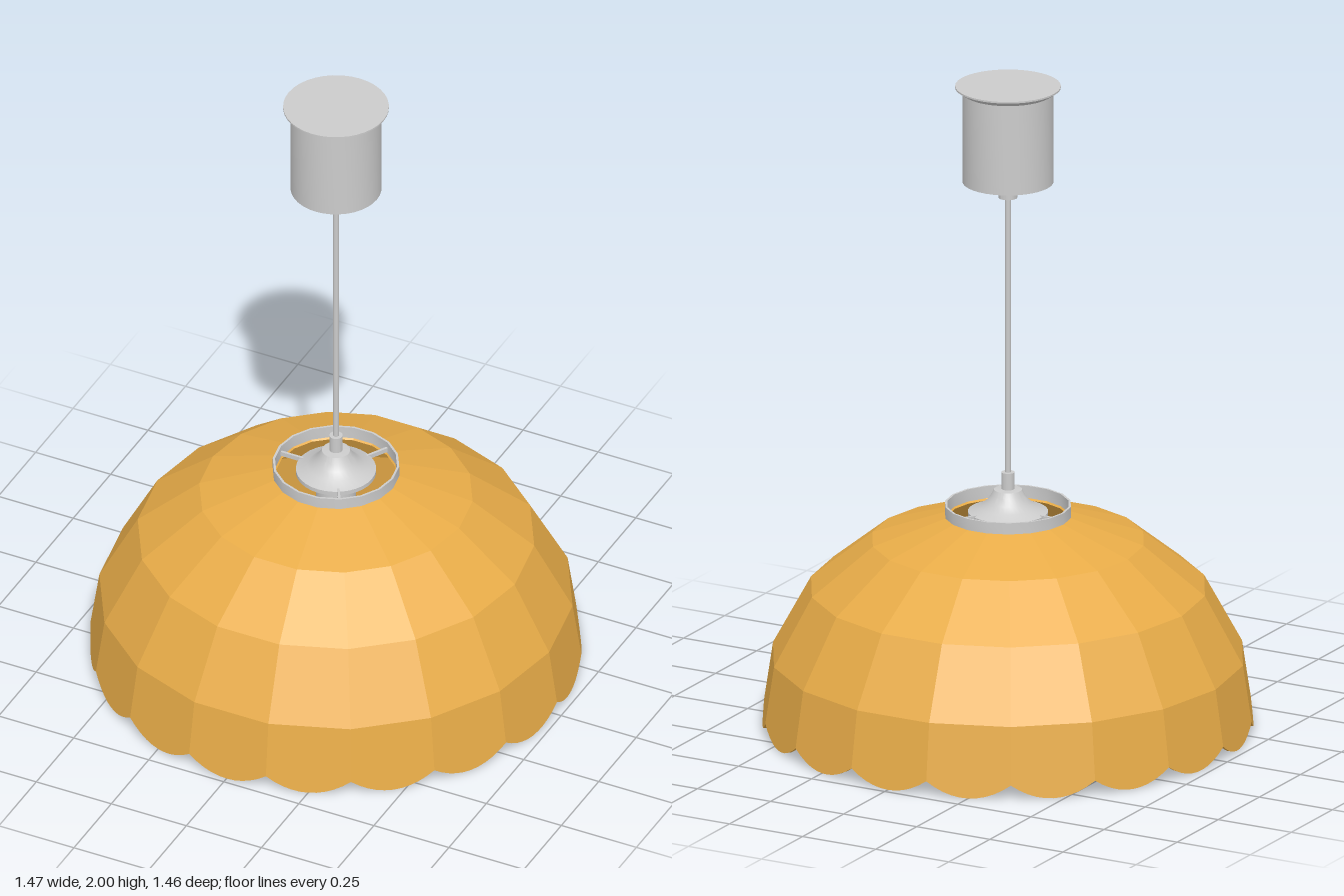
import * as THREE from 'three';
import { toCreasedNormals } from 'three/addons/utils/BufferGeometryUtils.js';

const SIDES = 18;
const grey = new THREE.MeshStandardMaterial({ color: 0xcccccc });
const amber = new THREE.MeshStandardMaterial({ color: 0xe8ac48, flatShading: true });
const glow = new THREE.MeshStandardMaterial({ color: 0xf0ec90 });

function add(parent, name, geometry, material) {
  const mesh = new THREE.Mesh(geometry, material);
  mesh.name = name;
  parent.add(mesh);
  return mesh;
}

// Turned part from [radius, y] points running bottom to top
function turned(points, segments = 32, start = 0) {
  const profile = points.map(([r, y]) => new THREE.Vector2(r, y));
  return toCreasedNormals(new THREE.LatheGeometry(profile, segments, start), 0.35);
}

// Faceted double-walled dome with one scallop under every panel
function shadeGeometry() {
  const steps = 10;
  const wall = 0.01;
  const rows = [[0.71, 0.22], [0.595, 0.432], [0.41, 0.58], [0.19, 0.655]];

  // Closed cross-section at panel position t: up the outside, down the inside
  const section = (t) => {
    const y = 0.045 * (2 * t - 1) ** 2;
    const r = 0.71 + (0.22 - y) * 0.15;
    const outer = [[r, y], ...rows];
    const inner = outer.map(([a, b], i) => [a - wall, i ? b - wall * i * 0.22 : b]).reverse();
    return [...outer, ...inner, outer[0]];
  };

  const positions = [];
  const point = (side, t, [r, y]) => {
    const a = (side * 2 * Math.PI) / SIDES;
    const b = ((side + 1) * 2 * Math.PI) / SIDES;
    return [
      r * THREE.MathUtils.lerp(Math.cos(a), Math.cos(b), t), y,
      r * THREE.MathUtils.lerp(Math.sin(a), Math.sin(b), t),
    ];
  };
  for (let side = 0; side < SIDES; side++) {
    for (let j = 0; j < steps; j++) {
      const t0 = j / steps, t1 = (j + 1) / steps;
      const s0 = section(t0), s1 = section(t1);
      for (let i = 0; i < s0.length - 1; i++) {
        const p = point(side, t0, s0[i]), q = point(side, t0, s0[i + 1]);
        const u = point(side, t1, s1[i]), v = point(side, t1, s1[i + 1]);
        positions.push(...p, ...q, ...u, ...q, ...v, ...u);
      }
    }
  }
  const geometry = new THREE.BufferGeometry();
  geometry.setAttribute('position', new THREE.Float32BufferAttribute(positions, 3));
  geometry.computeVertexNormals();
  return geometry;
}

export function createModel() {
  const model = new THREE.Group();
  model.name = 'pendantLamp';

  add(model, 'shade', shadeGeometry(), amber);

  // Open collar ring on top of the shade
  add(model, 'collarRing', turned([
    [0.19, 0.652], [0.19, 0.69], [0.183, 0.69], [0.183, 0.652], [0.19, 0.652],
  ], SIDES, Math.PI / 2), grey);

  // Three spokes hold the collar to the lamp holder
  const spokes = new THREE.Group();
  spokes.name = 'spokes';
  for (let i = 0; i < 3; i++) {
    const angle = Math.PI / 3 + (i * 2 * Math.PI) / 3;
    const geometry = new THREE.BoxGeometry(0.11, 0.014, 0.008);
    geometry.translate(0.132, 0.665, 0);
    add(spokes, 'spoke', geometry, grey).rotation.y = angle;
  }
  model.add(spokes);

  // Flared cap with the cord grip above it
  add(model, 'holderCap', turned([
    [0, 0.655], [0.12, 0.655], [0.12, 0.668], [0.085, 0.682], [0.064, 0.7],
    [0.05, 0.72], [0.042, 0.736], [0.02, 0.738], [0.02, 0.79], [0, 0.79],
  ]), grey);

  // Socket and round bulb inside the shade
  add(model, 'socket', turned([
    [0, 0.48], [0.055, 0.48], [0.06, 0.49], [0.06, 0.66], [0, 0.66],
  ]), grey);
  const bulb = new THREE.SphereGeometry(0.115, 28, 18);
  bulb.translate(0, 0.4, 0);
  add(model, 'bulb', bulb, glow);

  const cord = new THREE.CylinderGeometry(0.009, 0.009, 0.9, 12);
  cord.translate(0, 1.22, 0);
  add(model, 'cord', cord, grey);

  // Ceiling canopy with its flared rim and lower cord grip
  add(model, 'canopyGrip', turned([
    [0, 1.65], [0.028, 1.65], [0.028, 1.705], [0, 1.705],
  ], 20), grey);
  add(model, 'canopy', turned([
    [0, 1.7], [0.136, 1.7], [0.136, 1.98], [0.158, 1.995], [0.158, 2], [0, 2],
  ], 36), grey);

  return model;
}
